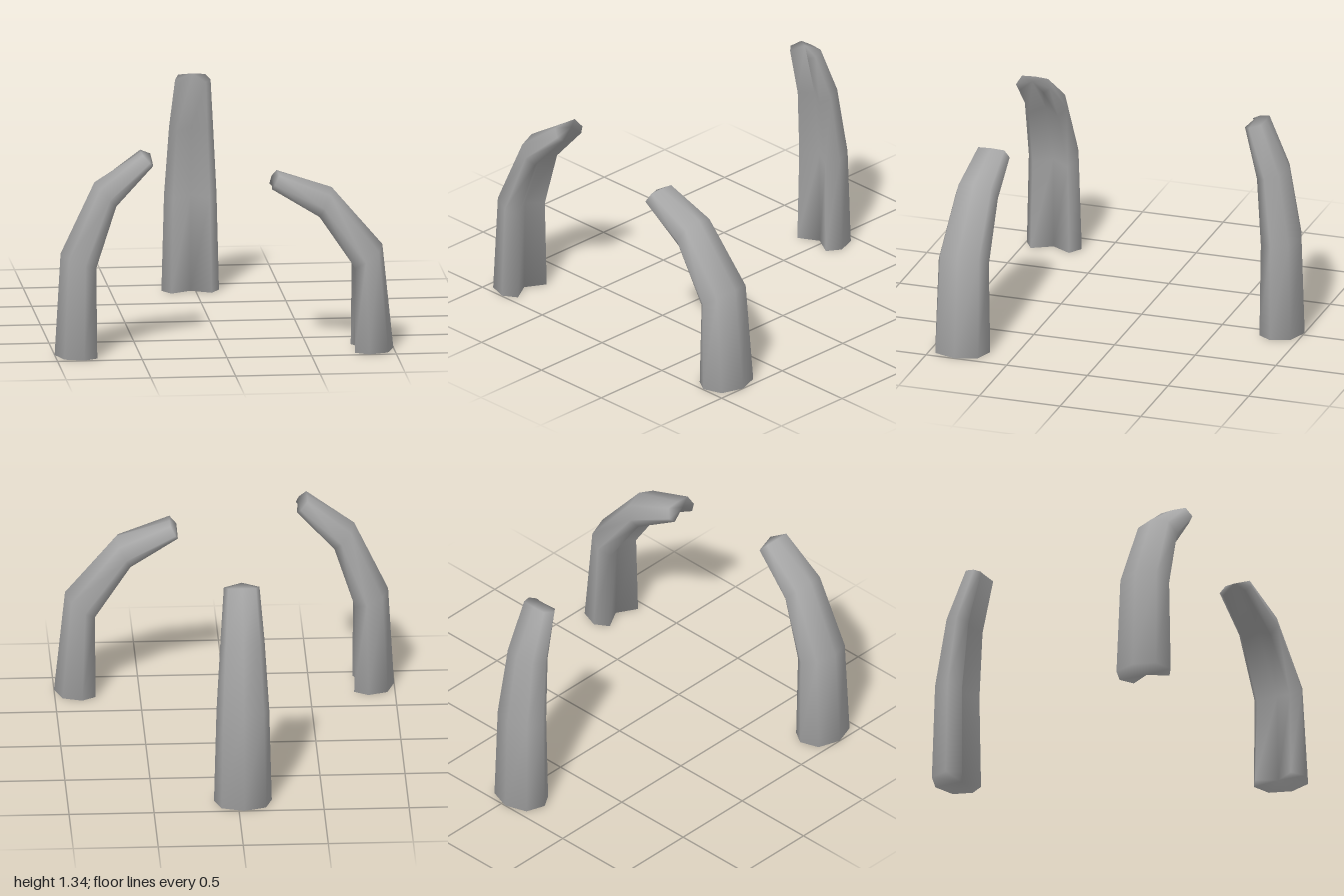
import * as THREE from 'three';

const grey = new THREE.MeshStandardMaterial({ color: 0xa6a6a6 });
grey.name = 'grey';

// Cross-section: [side, depth], depth 0 = outer ridge, 1 = inner corners; last half mirrored
const SECTION = [
  [0, 0], [0.77, 0.19], [1, 0.66], [0.7, 1], [0, 0.72],
  [-0.7, 1], [-1, 0.66], [-0.77, 0.19],
];
const HALF_WIDTHS = [0.17, 0.155, 0.13, 0.105];

// Rings are [outerReach, outerY, innerReach, innerY]; groove is the [reach, y] of the tip notch
function clawGeometry(rings, groove) {
  const n = SECTION.length, pos = [], idx = [];
  rings.forEach(([or, oy, ir, iy], r) => {
    const tip = r === rings.length - 1;
    SECTION.forEach(([s, d], k) => {
      const t = tip && (k === 1 || k === 7) ? 0.05 : d;
      let reach = or + (ir - or) * t, y = oy + (iy - oy) * t;
      if (tip && k === 4) [reach, y] = groove;
      pos.push(s * HALF_WIDTHS[r], y, reach);
    });
  });
  // Side walls
  for (let r = 0; r < rings.length - 1; r++) {
    for (let k = 0; k < n; k++) {
      const a = r * n + k, b = r * n + (k + 1) % n;
      idx.push(a, b, b + n, a, b + n, a + n);
    }
  }
  // End caps fan out from the groove corner
  const top = (rings.length - 1) * n;
  for (let j = 1; j < n - 1; j++) {
    const p = (4 + j) % n, q = (5 + j) % n;
    idx.push(4, q, p, top + 4, top + p, top + q);
  }
  const g = new THREE.BufferGeometry();
  g.setAttribute('position', new THREE.Float32BufferAttribute(pos, 3));
  g.setIndex(idx);
  g.computeVertexNormals();
  return g;
}

const CLAWS = [
  {
    name: 'backClaw', turn: Math.PI, x: -0.03, z: 0, groove: [0.705, 1.335],
    rings: [[1, 0, 0.76, 0], [0.98, 0.6, 0.765, 0.57], [0.905, 1.03, 0.735, 0.98], [0.76, 1.32, 0.655, 1.29]],
  },
  {
    name: 'rightClaw', turn: -Math.PI / 2, x: 0, z: 0.825, groove: [0.435, 1.2],
    rings: [[1, 0, 0.76, 0], [0.965, 0.61, 0.765, 0.54], [0.765, 1.035, 0.645, 0.905], [0.49, 1.21, 0.425, 1.14]],
  },
  {
    name: 'leftClaw', turn: Math.PI / 2, x: 0, z: 0.825, groove: [0.28, 1.05],
    rings: [[1, 0, 0.76, 0], [0.935, 0.625, 0.765, 0.505], [0.635, 0.975, 0.555, 0.815], [0.32, 1.07, 0.275, 0.985]],
  },
];

export function createModel() {
  const model = new THREE.Group();
  model.name = 'claws';
  for (const c of CLAWS) {
    const mesh = new THREE.Mesh(clawGeometry(c.rings, c.groove), grey);
    mesh.name = c.name;
    mesh.rotation.y = c.turn;
    mesh.position.set(c.x, 0, c.z);
    model.add(mesh);
  }
  return model;
}
